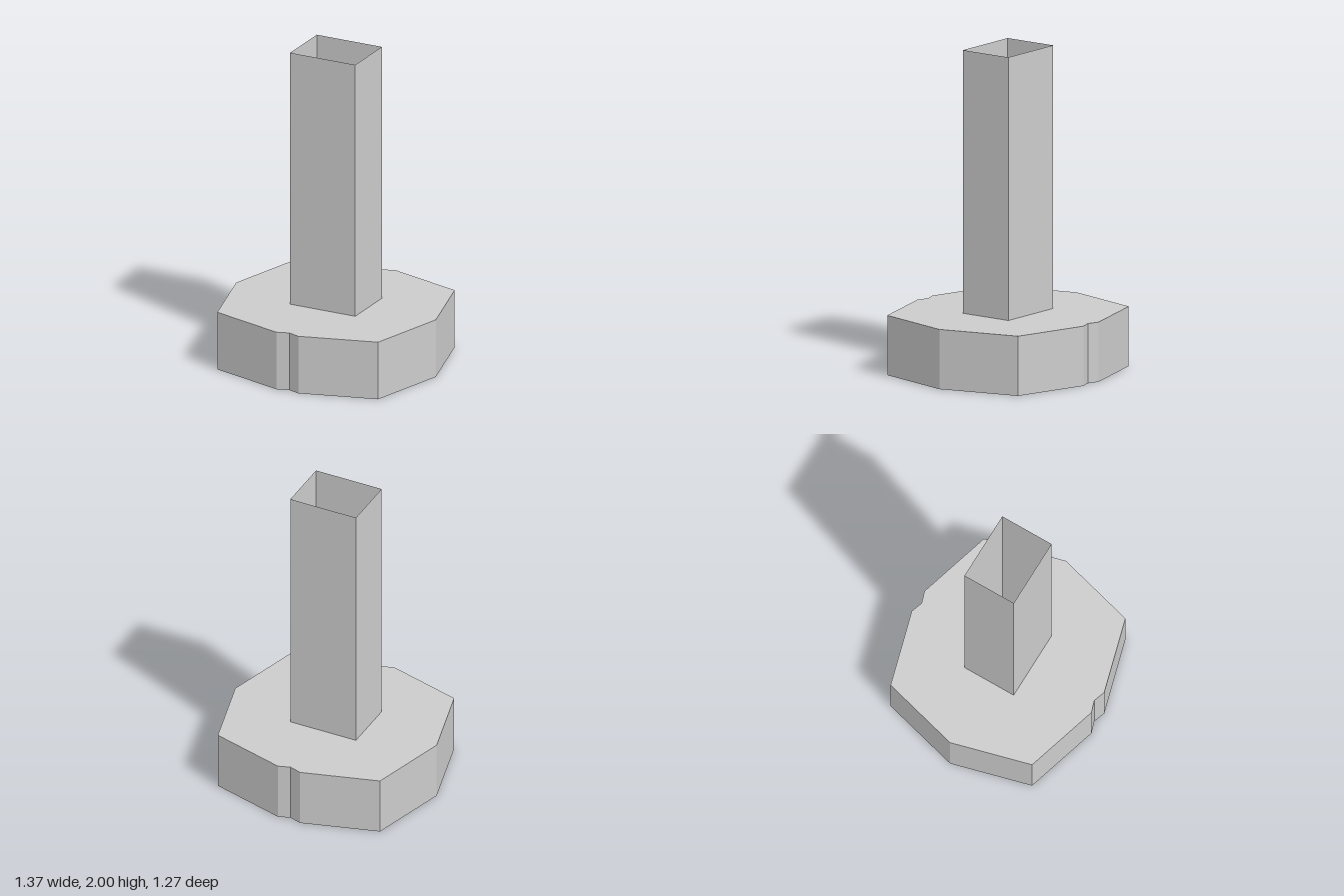
import * as THREE from 'three';

const BASE_H = 0.37;
const TOP = 2;

export function createModel() {
  const model = new THREE.Group();

  // Faceted base: one quarter outline mirrored to all four sides, notched front and back
  const quarter = [[0.683, 0], [0.55, 0.5], [0.075, 0.635], [0, 0.61]];
  const half = [...quarter, ...quarter.slice(0, 3).reverse().map(([x, z]) => [-x, z])];
  const outline = [...half, ...half.slice(1, -1).reverse().map(([x, z]) => [x, -z])];
  const shape = new THREE.Shape(outline.map(([x, z]) => new THREE.Vector2(x, z)));
  const baseGeo = new THREE.ExtrudeGeometry(shape, { depth: BASE_H, bevelEnabled: false });
  baseGeo.rotateX(-Math.PI / 2);
  const base = new THREE.Mesh(
    baseGeo,
    new THREE.MeshStandardMaterial({ color: 0xcccccc, flatShading: true })
  );
  base.name = 'base';
  model.add(base);

  // Thin-walled rectangular post, open at the top
  const h = TOP - BASE_H;
  const postGeo = new THREE.CylinderGeometry(Math.SQRT1_2, Math.SQRT1_2, h, 4, 1, true);
  postGeo.rotateY(Math.PI / 4);
  postGeo.scale(0.445, 1, 0.347);
  const post = new THREE.Mesh(
    postGeo,
    new THREE.MeshStandardMaterial({ color: 0xcccccc, flatShading: true, side: THREE.DoubleSide })
  );
  post.name = 'hollowPost';
  post.position.y = BASE_H + h / 2;
  model.add(post);

  return model;
}
